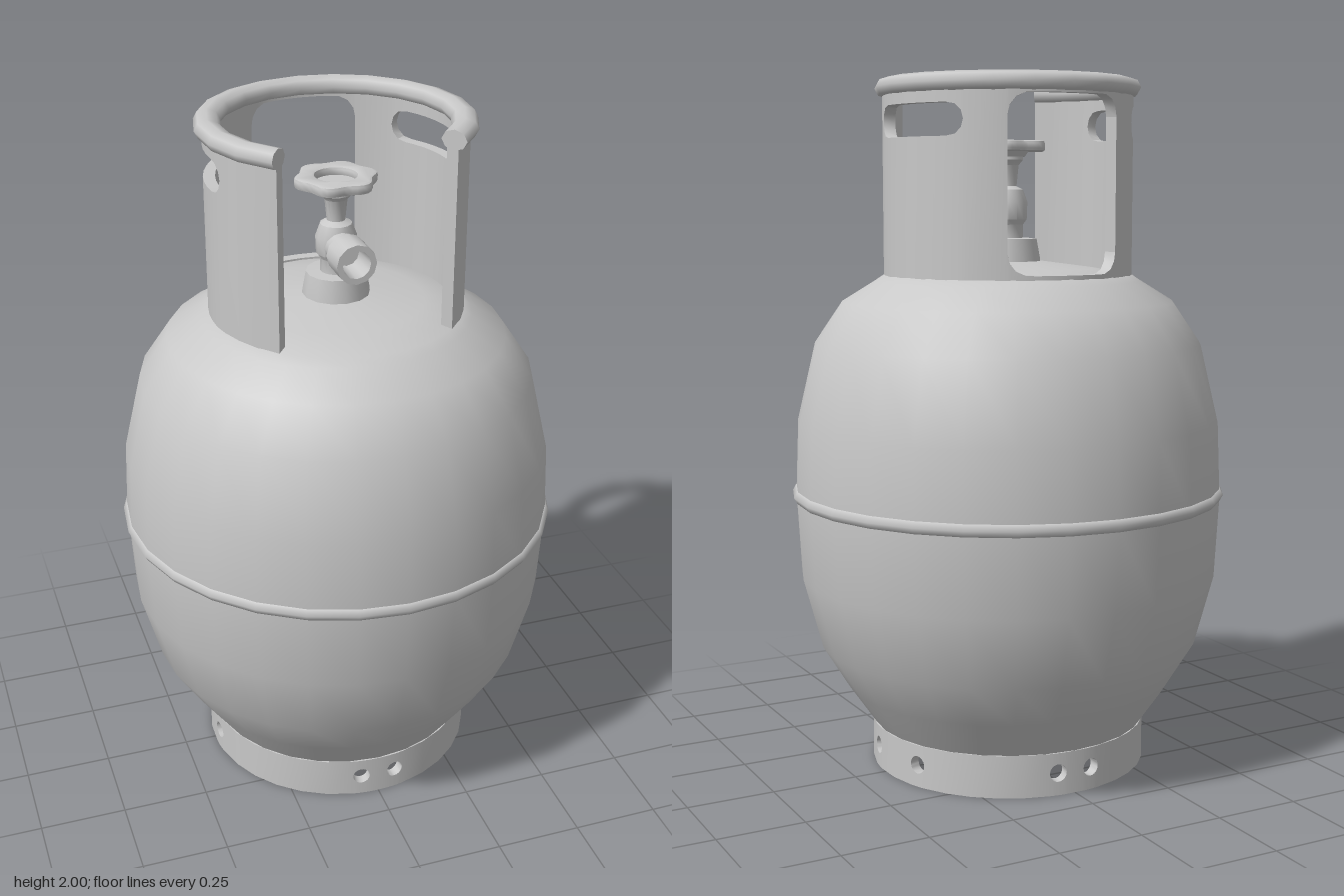
import * as THREE from 'three';
import { mergeGeometries, toCreasedNormals } from 'three/addons/utils/BufferGeometryUtils.js';

const rad = THREE.MathUtils.degToRad;

// Curved strip of sheet metal between two angles (degrees from the front), with varying lower and upper edges.
function strip(inner, outer, angles, low, high) {
  const pos = [], index = [];
  angles.forEach((a, i) => {
    const s = Math.sin(rad(a)), c = Math.cos(rad(a)), lo = low(a), hi = high(a);
    for (const [r, y] of [[outer, lo], [outer, hi], [inner, hi], [inner, lo]]) pos.push(r * s, y, r * c);
    if (i === 0) return;
    for (let k = 0; k < 4; k++) {
      const p = (i - 1) * 4, q = i * 4, n = (k + 1) % 4;
      index.push(p + k, q + k, q + n, p + k, q + n, p + n);
    }
  });
  const e = (angles.length - 1) * 4;
  index.push(0, 1, 2, 0, 2, 3, e, e + 2, e + 1, e, e + 3, e + 2);
  const g = new THREE.BufferGeometry();
  g.setAttribute('position', new THREE.Float32BufferAttribute(pos, 3));
  g.setIndex(index);
  return g;
}

// Cylindrical wall with rounded openings: c, w = centre and half width in degrees; y, h, r = height, half height, corner.
function wall(inner, outer, y0, y1, start, end, openings) {
  const parts = [];
  const even = (a, b) => {
    const n = Math.max(1, Math.ceil((b - a) / 12));
    return Array.from({ length: n + 1 }, (_, i) => a + (b - a) * i / n);
  };
  let from = start;
  for (const { c, w, y, h, r } of openings) {
    parts.push(strip(inner, outer, even(from, c - w), () => y0, () => y1));
    const half = (a) => {
      const d = Math.max(0, rad(Math.abs(a - c) - w) * outer + r);
      return h - r + Math.sqrt(Math.max(0, r * r - d * d));
    };
    const angles = Array.from({ length: 13 }, (_, i) => c - w * Math.cos(Math.PI * i / 12));
    parts.push(strip(inner, outer, angles, () => y0, (a) => y - half(a)));
    parts.push(strip(inner, outer, angles, (a) => y + half(a), () => y1));
    from = c + w;
  }
  parts.push(strip(inner, outer, even(from, end), () => y0, () => y1));
  return toCreasedNormals(mergeGeometries(parts), 0.6);
}

const lathe = (points, segments) =>
  toCreasedNormals(new THREE.LatheGeometry(points.map(([x, y]) => new THREE.Vector2(x, y)), segments), 0.7);

export function createModel() {
  const model = new THREE.Group();
  const steel = new THREE.MeshStandardMaterial({ color: 0xc8c8c8 });
  steel.name = 'light grey steel';
  const add = (name, geometry, parent = model) => {
    const mesh = new THREE.Mesh(geometry, steel);
    mesh.name = name;
    parent.add(mesh);
    return mesh;
  };

  // Pressure vessel
  add('tank', lathe([
    [0, 0.09], [0.2, 0.095], [0.4, 0.12], [0.48, 0.235], [0.557, 0.36], [0.612, 0.565], [0.625, 0.8],
    [0.616, 1.02], [0.563, 1.245], [0.482, 1.365], [0.385, 1.425], [0.36, 1.442], [0.25, 1.46], [0.1, 1.48], [0, 1.485],
  ], 28));
  add('weldSeam', new THREE.TorusGeometry(0.615, 0.02, 6, 28).rotateX(Math.PI / 2).translate(0, 0.808, 0));

  // Foot ring with drain holes
  const drains = [7.5, 82.5, 112.5, 172.5, 187.5, 247.5, 277.5, 352.5]
    .map((c) => ({ c, w: 3.6, y: 0.065, h: 0.0255, r: 0.0255 }));
  add('footRing', wall(0.375, 0.405, 0, 0.123, 0, 360, drains));

  // Guard collar, open at the front, with two hand slots and a rear window
  const slot = { w: 28.5, y: 1.873, h: 0.045, r: 0.045 };
  add('collar', wall(0.327, 0.36, 1.42, 1.97, 43, 317, [
    { c: 104, ...slot }, { c: 180, w: 28.2, y: 1.698, h: 0.245, r: 0.06 }, { c: 256, ...slot },
  ]));

  // Rolled rim on the collar
  const rim = new THREE.Group();
  rim.name = 'rim';
  rim.position.y = 1.972;
  rim.scale.y = 0.76;
  model.add(rim);
  add('rimTube', new THREE.TorusGeometry(0.347, 0.037, 8, 16, rad(274)).rotateZ(rad(-227)).rotateX(Math.PI / 2), rim);
  for (const [a, turn] of [[43, -90], [317, 90]]) {
    add('rimEnd', new THREE.CircleGeometry(0.037, 8).rotateY(rad(a + turn))
      .translate(0.347 * Math.sin(rad(a)), 0, 0.347 * Math.cos(rad(a))), rim);
  }

  // Valve: boss, neck, body and stem in one turned piece
  const valve = new THREE.Group();
  valve.name = 'valve';
  model.add(valve);
  add('valveStem', lathe([
    [0.097, 1.46], [0.095, 1.49], [0.085, 1.545], [0.045, 1.547], [0.045, 1.585], [0.056, 1.6], [0.058, 1.65],
    [0.045, 1.685], [0.026, 1.695], [0.032, 1.755], [0.045, 1.77], [0.045, 1.785], [0, 1.787],
  ], 14), valve);

  // Hollow outlet pointing forward
  add('valveOutlet', lathe([
    [0, 0], [0.045, 0], [0.045, 0.085], [0.057, 0.088], [0.057, 0.178], [0.04, 0.178], [0.036, 0.09], [0, 0.09],
  ], 12).rotateX(Math.PI / 2).translate(0, 1.627, 0), valve);

  // Lobed handwheel with a recessed hub
  const outline = new THREE.Shape();
  for (let i = 0; i < 48; i++) {
    const a = i / 48 * Math.PI * 2, r = 0.102 + 0.008 * Math.cos(6 * a);
    outline[i ? 'lineTo' : 'moveTo'](r * Math.cos(a), r * Math.sin(a));
  }
  outline.closePath();
  outline.holes.push(new THREE.Path().absarc(0, 0, 0.066, 0, Math.PI * 2, true));
  const wheel = new THREE.ExtrudeGeometry(outline, {
    depth: 0.014, bevelEnabled: true, bevelThickness: 0.008, bevelSize: 0.008, bevelSegments: 2, curveSegments: 10,
  });
  add('handwheel', toCreasedNormals(wheel.rotateX(-Math.PI / 2), 0.7).translate(0, 1.802, 0), valve);
  add('handwheelHub', new THREE.CylinderGeometry(0.066, 0.05, 0.022, 14).translate(0, 1.79, 0), valve);

  return model;
}
